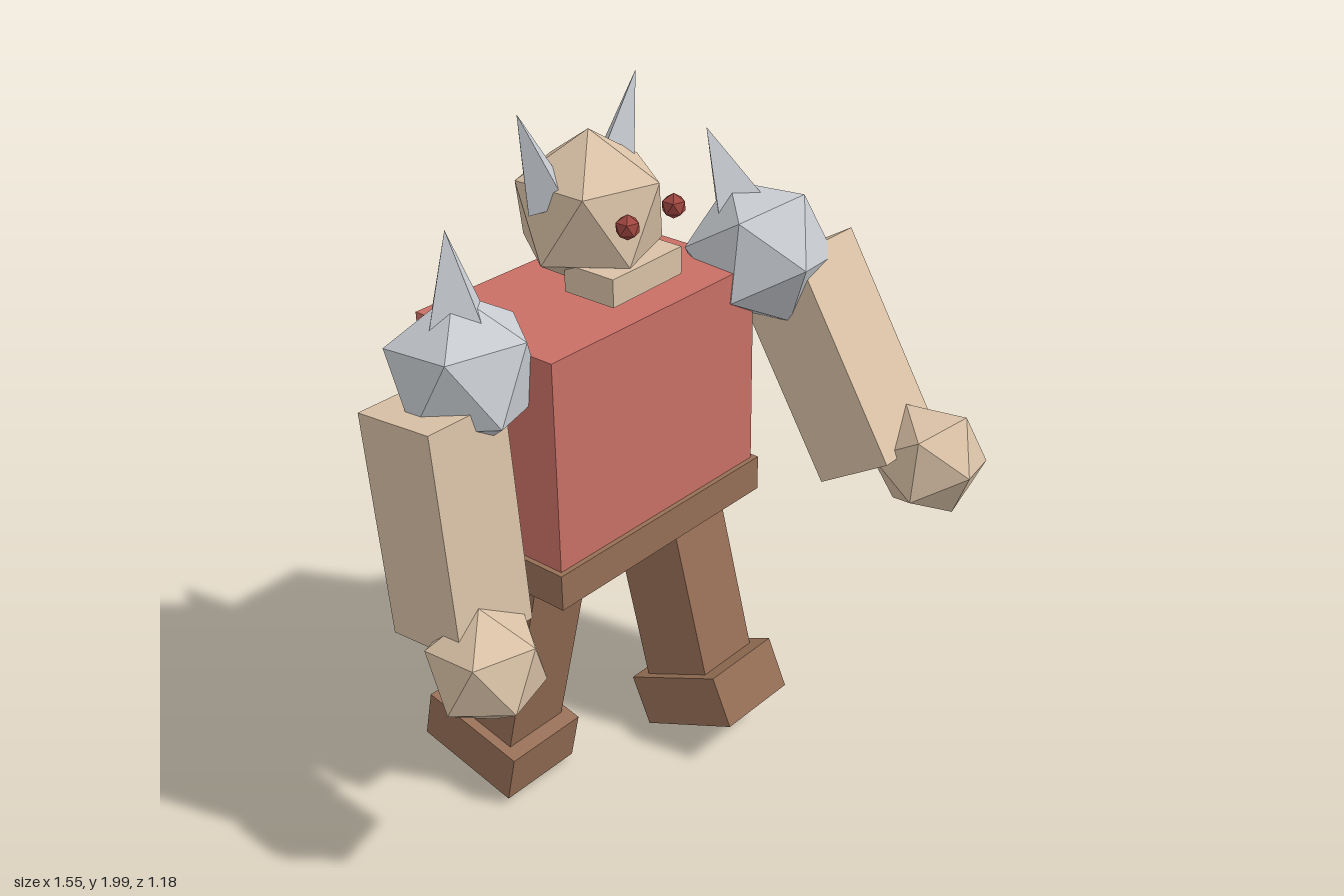
import * as THREE from 'three';

const material = (name, color) => {
  const m = new THREE.MeshStandardMaterial({ color, flatShading: true });
  m.name = name;
  return m;
};

export function createModel() {
  const red = material('tunic red', 0xc97065);
  const tan = material('skin tan', 0xd9c1a6);
  const grey = material('steel grey', 0xc8ccd1);
  const brown = material('leather brown', 0x966f56);
  const eyeRed = material('eye red', 0xa04740);

  const YAW = -0.03; // slight twist of the body
  const model = new THREE.Group();
  model.name = 'walkingBrute';

  const add = (parent, name, geometry, mat, pos, rot = [0, 0, 0]) => {
    const mesh = new THREE.Mesh(geometry, mat);
    mesh.name = name;
    mesh.position.set(...pos);
    mesh.rotation.set(...rot, 'YXZ');
    parent.add(mesh);
    return mesh;
  };
  const box = (w, h, d) => new THREE.BoxGeometry(w, h, d);
  // Icosahedron standing on a corner, one upper-ring corner toward +x
  const ball = (r) => new THREE.IcosahedronGeometry(r, 0).rotateZ(-Math.atan(2 / (1 + Math.sqrt(5))));
  const spike = (r, h) => new THREE.ConeGeometry(r, h, 4);

  // Torso and belt
  add(model, 'torso', box(0.78, 0.61, 0.475), red, [0, 1.175, -0.25], [-0.015, YAW, 0]);
  add(model, 'belt', box(0.81, 0.103, 0.5), brown, [0, 0.838, -0.243], [-0.015, YAW, 0]);

  // Head with jaw, eyes and horns
  const head = new THREE.Group();
  head.name = 'head';
  head.position.set(0, 1.7, -0.245);
  model.add(head);
  add(head, 'skull', ball(0.212), tan, [0, 0, 0]);
  add(head, 'jaw', box(0.27, 0.076, 0.16), tan, [-0.003, -0.133, 0.112]);
  for (const s of [-1, 1]) {
    const side = s > 0 ? 'left' : 'right';
    add(head, side + 'Eye', ball(0.034), eyeRed, [s * 0.09, 0.03, 0.2]);
    add(head, side + 'Horn', spike(0.07, 0.26), grey, [s * 0.175, 0.179, -0.03], [0, 0, -s * 0.366]);
  }

  // Arms swing as a whole about the shoulder
  const arm = (s, pos, swing) => {
    const side = s > 0 ? 'left' : 'right';
    const group = new THREE.Group();
    group.name = side + 'Arm';
    group.position.set(...pos);
    group.rotation.set(swing, YAW, 0, 'YXZ');
    model.add(group);
    add(group, side + 'ShoulderGuard', ball(0.207), grey, [0, 0, 0]);
    add(group, side + 'ShoulderSpike', spike(0.1, 0.25), grey, [0, 0.237, 0]);
    add(group, side + 'Forearm', box(0.25, 0.62, 0.25), tan, [s * 0.117, -0.355, 0]);
    add(group, side + 'Fist', ball(0.165), tan, [s * 0.165, -0.715, 0.125]);
  };
  arm(1, [0.47, 1.48, -0.048], -0.56);
  arm(-1, [-0.467, 1.42, -0.255], -0.1);

  // Legs and feet in mid stride
  const leg = (side, x, legZ, legTilt, footY, footZ, footTilt) => {
    add(model, side + 'Leg', box(0.21, 0.67, 0.238), brown, [x, 0.525, legZ], [legTilt, YAW, 0]);
    add(model, side + 'Foot', box(0.265, 0.156, 0.342), brown, [x, footY, footZ], [footTilt, YAW, 0]);
  };
  leg('left', 0.263, -0.16, -0.26, 0.151, -0.043, -0.435);
  leg('right', -0.268, -0.307, 0.215, 0.138, -0.397, 0.205);

  return model;
}
